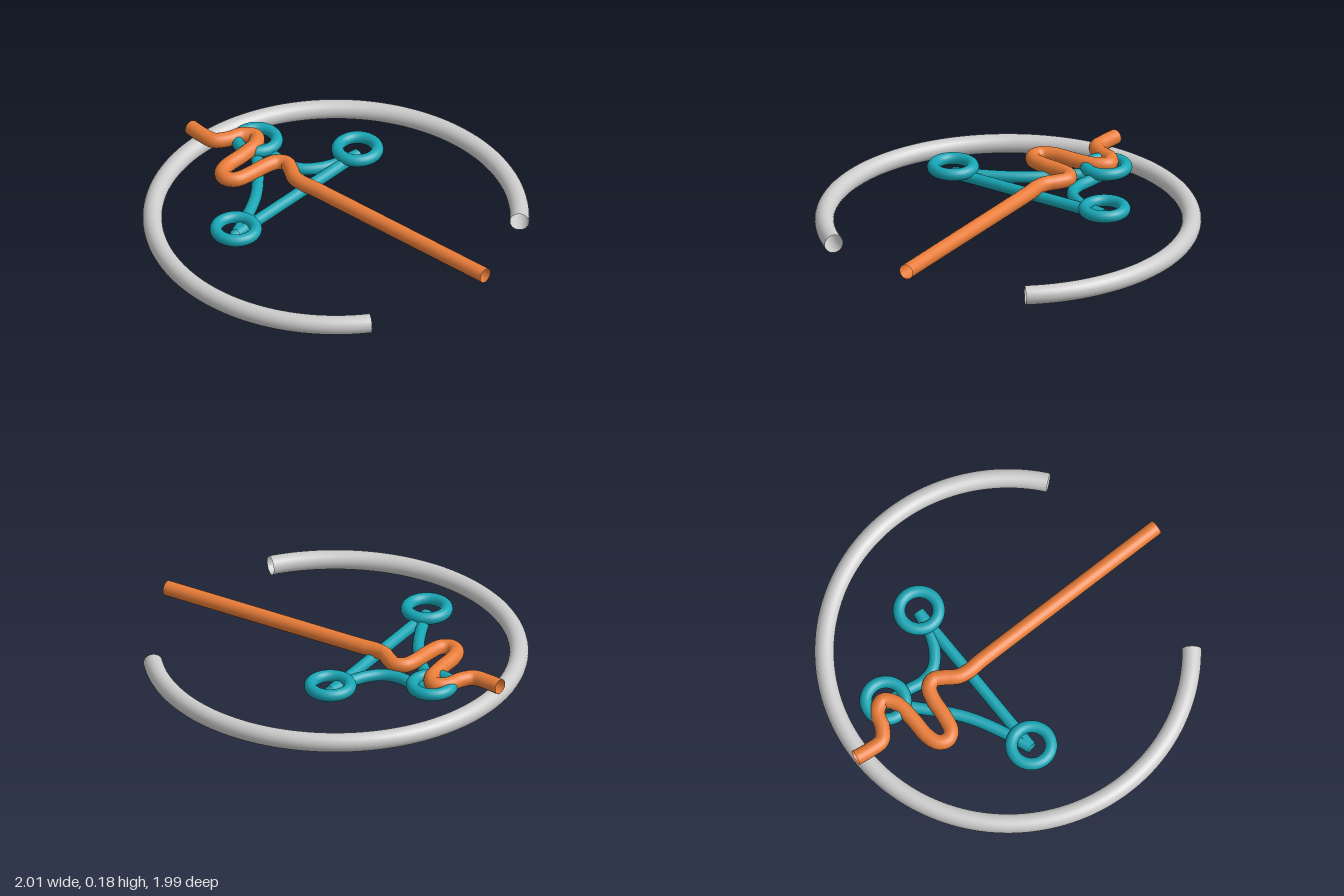
import * as THREE from 'three';

const makeMaterial = (color) =>
  new THREE.MeshStandardMaterial({ color, side: THREE.DoubleSide });

export function createModel() {
  const group = new THREE.Group();
  const grey = makeMaterial(0xcccccc);
  const teal = makeMaterial(0x17a5b4);
  const orange = makeMaterial(0xe87c38);

  const add = (name, geometry, material) => {
    const mesh = new THREE.Mesh(geometry, material);
    mesh.name = name;
    group.add(mesh);
    return mesh;
  };

  // Open-ended round tube through [x, z] points at one height
  const flatTube = (name, points, y, radius, material, segments) => {
    const curve = new THREE.CatmullRomCurve3(points.map(([x, z]) => new THREE.Vector3(x, y, z)));
    return add(name, new THREE.TubeGeometry(curve, segments, radius, 20), material);
  };

  // Large open ring with its gap facing +x
  const gap = THREE.MathUtils.degToRad(38.3);
  const arc = new THREE.TorusGeometry(0.947, 0.05, 24, 120, Math.PI * 2 - gap * 2);
  arc.rotateZ(gap).rotateX(-Math.PI / 2).translate(0, 0.05, -0.003);
  add('openRing', arc, grey);

  // Small rings at the three corners of the linkage
  const back = [-0.235, -0.443];
  const front = [-0.25, 0.497];
  const side = [-0.68, -0.165];
  const corners = { backLoop: back, frontLoop: front, sideLoop: side };
  for (const [name, [x, z]] of Object.entries(corners)) {
    const loop = new THREE.TorusGeometry(0.103, 0.032, 20, 48);
    loop.rotateX(-Math.PI / 2).translate(x, 0.13, z);
    add(name, loop, teal);
  }

  // Rods joining the small rings
  flatTube('straightRod', [front, back], 0.095, 0.031, teal, 8);
  flatTube('backCurvedRod', [
    back, [-0.255, -0.34], [-0.3, -0.235], [-0.37, -0.16],
    [-0.45, -0.137], [-0.55, -0.15], side,
  ], 0.095, 0.031, teal, 64);
  flatTube('frontCurvedRod', [
    front, [-0.31, 0.34], [-0.39, 0.18], [-0.47, 0.07], [-0.56, -0.03], side,
  ], 0.095, 0.031, teal, 64);

  // Meandering rod that runs out into a long straight bar
  const wave = [
    [-1, -0.015], [-0.92, -0.004], [-0.835, -0.005], [-0.785, -0.065], [-0.755, -0.14],
    [-0.695, -0.172], [-0.65, -0.12], [-0.638, 0], [-0.638, 0.12], [-0.615, 0.185],
    [-0.57, 0.206], [-0.525, 0.18], [-0.502, 0.1], [-0.488, -0.01], [-0.465, -0.075],
    [-0.42, -0.098], [-0.365, -0.07], [-0.31, -0.032], [-0.25, -0.02], [-0.17, -0.024],
    [0, -0.025], [0.5, -0.025], [1, -0.025],
  ];
  flatTube('waveRod', wave, 0.14, 0.04, orange, 240);

  return group;
}
